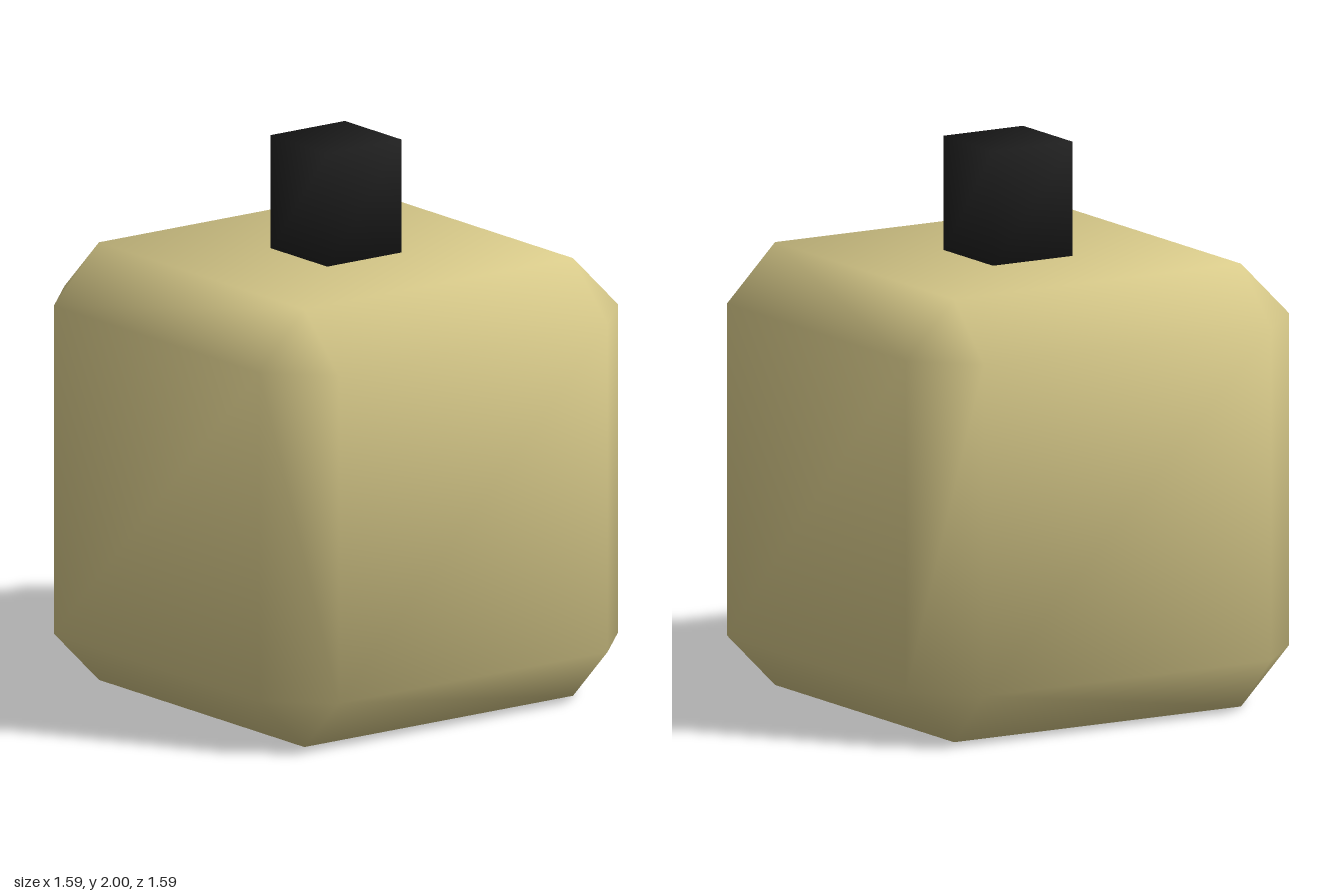
import * as THREE from 'three';
import { ConvexGeometry } from 'three/addons/geometries/ConvexGeometry.js';

const HALF = 0.795; // half width of the body
const INNER = 0.595; // half width of the flat faces inside the bevel

// Cube with one bevel step and soft normals that blend across the bevels
function bevelledCube(half, inner) {
  const points = [];
  for (const x of [-1, 1]) for (const y of [-1, 1]) for (const z of [-1, 1]) {
    points.push(
      new THREE.Vector3(x * half, y * inner, z * inner),
      new THREE.Vector3(x * inner, y * half, z * inner),
      new THREE.Vector3(x * inner, y * inner, z * half));
  }
  const geometry = new ConvexGeometry(points);
  const tilt = (v) => Math.sign(v) * (Math.abs(v) > (half + inner) / 2 ? 1 : 0.39);
  return setNormals(geometry, (p) => p.set(tilt(p.x), tilt(p.y), tilt(p.z)));
}

// Replace each normal by a direction worked out from its vertex
function setNormals(geometry, rule) {
  const { position, normal } = geometry.attributes;
  const p = new THREE.Vector3();
  for (let i = 0; i < position.count; i++) {
    rule(p.fromBufferAttribute(position, i)).normalize();
    normal.setXYZ(i, p.x, p.y, p.z);
  }
  return geometry;
}

export function createModel() {
  const group = new THREE.Group();
  group.name = 'bevelledBottle';

  const tan = new THREE.MeshStandardMaterial({ color: 0xd8ca8a });
  tan.name = 'tan';
  const black = new THREE.MeshStandardMaterial({ color: 0x1f1f1f });
  black.name = 'black';

  // Body standing on the ground
  const body = new THREE.Mesh(bevelledCube(HALF, INNER), tan);
  body.name = 'body';
  body.position.y = HALF;
  group.add(body);

  // Square stem, smooth shaded around its corners
  const base = 2 * HALF - 0.01;
  const stemGeometry = setNormals(
    new THREE.BoxGeometry(0.33, 2 - base, 0.33),
    (p) => p.set(Math.sign(p.x), Math.sign(p.y), Math.sign(p.z)));
  const stem = new THREE.Mesh(stemGeometry, black);
  stem.name = 'stem';
  stem.position.y = (2 + base) / 2;
  group.add(stem);

  return group;
}
